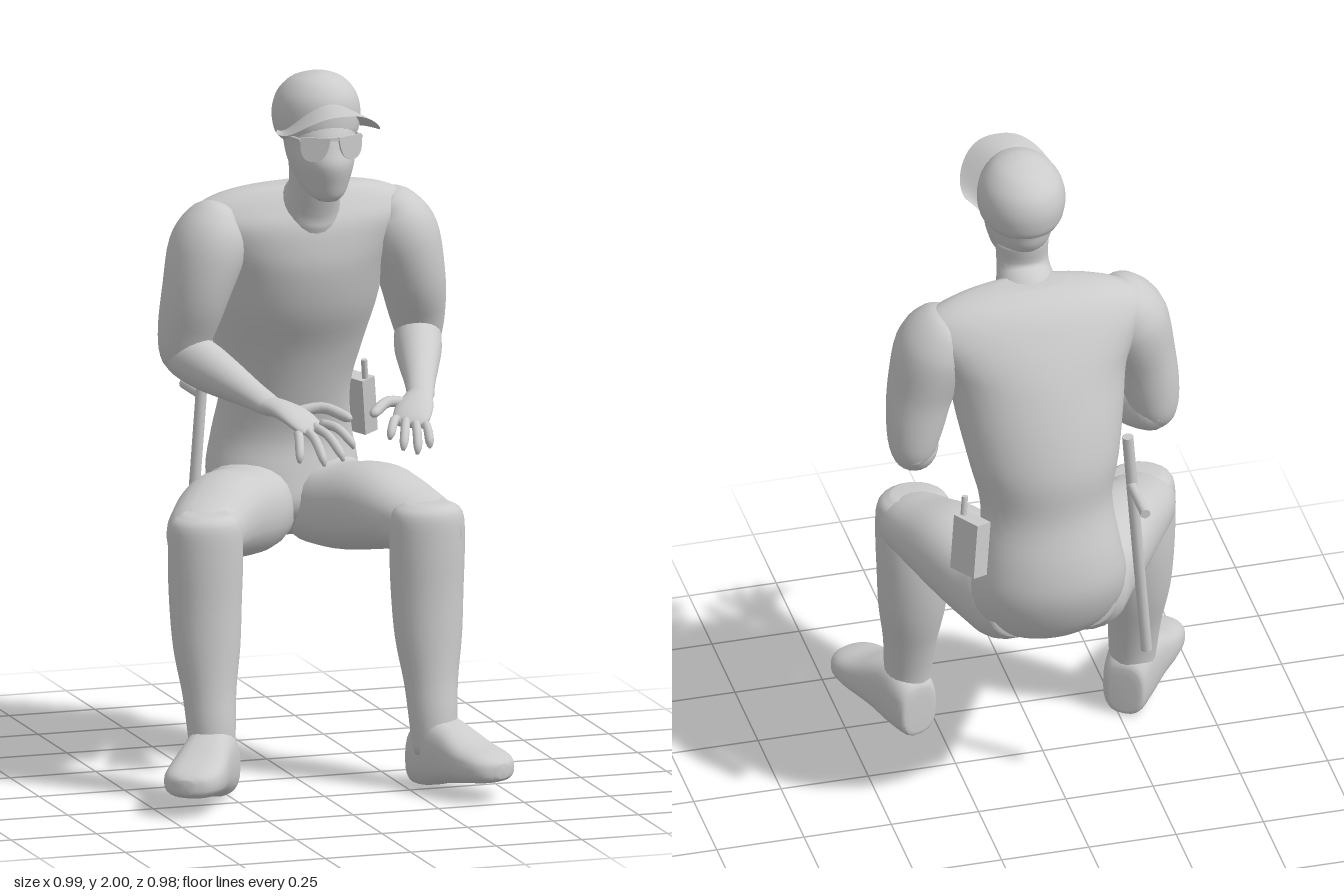
import * as THREE from 'three';

const V = (x, y, z) => new THREE.Vector3(x, y, z);
const X = V(1, 0, 0), Y = V(0, 1, 0), Z = V(0, 0, 1);
const MID = 0.07; // body centre line
const mat = new THREE.MeshStandardMaterial({ color: 0xcccccc });
const thinMat = new THREE.MeshStandardMaterial({ color: 0xcccccc, side: THREE.DoubleSide });

function part(parent, name, geo, material = mat) {
  const m = new THREE.Mesh(geo, material);
  m.name = name;
  parent.add(m);
  return m;
}

// Smooth closed skin over cross-sections [x, y, z, ra, rb]; rings turn with the path
// unless a fixed axis is given. power < 1 makes the rings boxier.
function loft(sections, ref, { axis = null, seg = 24, sub = 4, power = 1 } = {}) {
  const centre = new THREE.CatmullRomCurve3(sections.map(s => V(s[0], s[1], s[2])));
  const radii = new THREE.CatmullRomCurve3(sections.map(s => V(s[3], s[4], 0)));
  centre.curveType = radii.curveType = 'catmullrom';
  const n = (sections.length - 1) * sub, pos = [], idx = [];
  const bend = a => Math.sign(a) * Math.pow(Math.abs(a), power);
  for (let i = 0; i <= n; i++) {
    const c = centre.getPoint(i / n), r = radii.getPoint(i / n);
    const t = axis ? axis.clone() : centre.getTangent(i / n);
    const u = ref.clone().cross(t).normalize(), v = t.clone().cross(u);
    for (let j = 0; j < seg; j++) {
      const a = j / seg * Math.PI * 2;
      const p = c.clone().addScaledVector(u, bend(Math.cos(a)) * r.x).addScaledVector(v, bend(Math.sin(a)) * r.y);
      pos.push(p.x, p.y, p.z);
      if (i === n) continue;
      const k = (j + 1) % seg, A = i * seg + j, B = i * seg + k;
      idx.push(A, B, A + seg, B, B + seg, A + seg);
    }
  }
  // end caps
  for (const i of [0, n]) {
    const c = centre.getPoint(i / n), e = pos.length / 3;
    pos.push(c.x, c.y, c.z);
    for (let j = 0; j < seg; j++) {
      const A = i * seg + j, B = i * seg + (j + 1) % seg;
      if (i) idx.push(e, A, B); else idx.push(e, B, A);
    }
  }
  const g = new THREE.BufferGeometry();
  g.setAttribute('position', new THREE.Float32BufferAttribute(pos, 3));
  g.setIndex(idx);
  g.computeVertexNormals();
  return g;
}

// Upright body from rows [y, back z, front z, half width]
const upright = rows => loft(
  rows.map(([y, b, f, w]) => [MID, y, (b + f) / 2, w, (f - b) / 2]), Z.clone().negate(), { axis: Y, seg: 36 });

function rod(parent, name, a, b, r) {
  const m = part(parent, name, new THREE.CylinderGeometry(r, r, a.distanceTo(b), 12));
  m.position.copy(a).lerp(b, 0.5);
  m.quaternion.setFromUnitVectors(Y, b.clone().sub(a).normalize());
}

function box(parent, name, w, h, d, x, y, z) {
  part(parent, name, new THREE.BoxGeometry(w, h, d)).position.set(x, y, z);
}

function addHead(root) {
  const head = new THREE.Group();
  head.name = 'head';
  root.add(head);
  part(head, 'neck', loft([[MID, 1.52, -0.12, 0.085, 0.09], [MID, 1.6, -0.092, 0.088, 0.09],
    [MID, 1.67, -0.045, 0.073, 0.064], [MID, 1.76, -0.035, 0.075, 0.08]], Z.clone().negate()));
  part(head, 'face', upright([[1.652, 0.04, 0.1, 0.028], [1.668, 0, 0.113, 0.05], [1.7, -0.07, 0.125, 0.07],
    [1.755, -0.12, 0.14, 0.088], [1.8, -0.134, 0.127, 0.095], [1.85, -0.14, 0.11, 0.1], [1.95, -0.1, 0.06, 0.07]]));

  // sunglasses
  const s = new THREE.Shape();
  s.moveTo(-0.04, 0.03).lineTo(0.044, 0.03);
  s.bezierCurveTo(0.048, -0.02, 0.035, -0.038, 0.008, -0.038);
  s.bezierCurveTo(-0.02, -0.038, -0.034, -0.015, -0.04, 0.03);
  const lens = new THREE.ExtrudeGeometry(s, { depth: 0.006, bevelEnabled: false });
  for (const k of [-1, 1]) {
    const m = part(head, 'lens', lens, thinMat);
    m.position.set(MID + k * 0.047, 1.81, 0.114);
    m.rotation.y = k * 0.4;
    m.scale.x = k;
    rod(head, 'glassesTemple', V(MID + k * 0.088, 1.832, 0.1), V(MID + k * 0.1, 1.825, -0.03), 0.005);
  }
  box(head, 'glassesBridge', 0.04, 0.01, 0.008, MID, 1.835, 0.128);

  // cap crown and curved peak
  part(head, 'capCrown', upright([[1.812, -0.15, 0.07, 0.1], [1.835, -0.16, 0.1, 0.116], [1.885, -0.165, 0.104, 0.122],
    [1.935, -0.15, 0.097, 0.11], [1.975, -0.108, 0.068, 0.078], [1.994, -0.055, 0.03, 0.04], [2, -0.025, 0.005, 0.008]]));
  const peak = new THREE.PlaneGeometry(1, 1, 32, 6), p = peak.attributes.position;
  for (let i = 0; i < p.count; i++) {
    const a = p.getX(i) * Math.PI * 1.05, v = 0.5 - p.getY(i);
    const sn = Math.sin(a), cs = Math.cos(a), wide = Math.sign(sn) * Math.pow(Math.abs(sn), 0.8);
    p.setXYZ(i, MID + THREE.MathUtils.lerp(0.112 * sn, 0.142 * wide, v),
      1.928 - 0.09 * sn * sn + 0.015 * v * sn * sn - 0.008 * v * v,
      THREE.MathUtils.lerp(-0.02 + 0.11 * cs, 0.06 + 0.167 * Math.pow(Math.abs(cs), 0.9) * Math.sign(cs), v));
  }
  peak.computeVertexNormals();
  part(head, 'capPeak', peak, thinMat);
}

// trunk from seat to collar, flaring into the shoulders
function addTorso(root) {
  part(root, 'torso', upright([[0.63, -0.365, -0.27, 0.08], [0.662, -0.42, -0.21, 0.155], [0.73, -0.462, -0.16, 0.208],
    [0.82, -0.488, -0.172, 0.217], [0.92, -0.48, -0.187, 0.2], [1.05, -0.449, -0.152, 0.185], [1.18, -0.446, -0.105, 0.212],
    [1.3, -0.418, -0.045, 0.235], [1.42, -0.374, -0.014, 0.255], [1.5, -0.336, -0.014, 0.295], [1.56, -0.3, -0.025, 0.325],
    [1.605, -0.268, -0.05, 0.305], [1.635, -0.237, -0.07, 0.25], [1.653, -0.205, -0.085, 0.18], [1.663, -0.175, -0.1, 0.09]]));
}

// side: 1 left, -1 right; dz shifts the elbow forward
function addArm(root, side, dz, wrist, knuckles, tips, thumb) {
  const arm = new THREE.Group();
  arm.name = side > 0 ? 'leftArm' : 'rightArm';
  root.add(arm);
  const mx = x => MID + side * (x - MID);
  part(arm, 'upperArm', loft([[0.295, 1.595, -0.15, 0.06, 0.04], [0.325, 1.56, -0.15, 0.1, 0.085], [0.355, 1.49, -0.147, 0.119, 0.107],
    [0.39, 1.37, -0.15, 0.106, 0.093], [0.413, 1.26, -0.172, 0.08, 0.079], [0.423, 1.18, -0.182, 0.058, 0.058],
    [0.423, 1.14, -0.18, 0.02, 0.02]].map(([x, y, z, a, b], i) => [mx(x), y, z + dz * Math.min(i / 4, 1), a, b]), X));
  const e = V(mx(0.423), 1.2, -0.2 + dz);
  const along = (t, ra, rb) => { const q = e.clone().lerp(wrist, t); return [q.x, q.y, q.z, ra, rb]; };
  part(arm, 'forearm', loft([along(-0.08, 0.03, 0.03), along(0.03, 0.064, 0.062), along(0.25, 0.07, 0.066), along(0.5, 0.058, 0.057),
    along(0.8, 0.038, 0.043), along(1, 0.027, 0.037), along(1.08, 0.018, 0.028)], X));

  // hand: palm, four bent fingers and a thumb
  const hand = new THREE.Group();
  hand.name = 'hand';
  arm.add(hand);
  const k = knuckles[0].clone().lerp(knuckles[1], 0.5);
  const palm = (t, ra, rb) => { const q = wrist.clone().lerp(k, t); return [q.x, q.y + 0.012 * Math.sin(t * Math.PI), q.z, ra, rb]; };
  part(hand, 'palm', loft([palm(-0.2, 0.034, 0.026), palm(0.2, 0.041, 0.025), palm(0.6, 0.053, 0.022),
    palm(0.95, 0.052, 0.018), palm(1.1, 0.037, 0.009)], Y));
  const digit = (name, pts, r) => part(hand, name, loft(
    pts.map((q, i) => [q.x, q.y, q.z, ...[0, 1].map(() => r * (i === pts.length - 1 ? 0.35 : 1 - 0.05 * i))]), Y, { seg: 10 }));
  tips.forEach((tip, i) => {
    const base = knuckles[0].clone().lerp(knuckles[1], i / 3);
    const mid = base.clone().lerp(tip, 0.45).add(V(0, 0.02, 0.006));
    const end = base.clone().lerp(tip, 0.86).add(V(0, 0.012, 0.006));
    digit('finger', [base, mid, end, tip], 0.0135);
  });
  digit('thumb', [thumb[0], thumb[1], thumb[1].clone().lerp(thumb[2], 0.8), thumb[2]], 0.0165);
}

function addLeg(root, name, thigh, shinX, shinZ, foot, turn) {
  const leg = new THREE.Group();
  leg.name = name;
  root.add(leg);
  part(leg, 'thigh', loft(thigh, Y, { power: 0.9 }));
  part(leg, 'shin', loft([[0, 0.8, 0, 0.06, 0.055], [0, 0.77, 0, 0.1, 0.085], [0, 0.68, 0, 0.106, 0.09],
    [0, 0.55, 0, 0.102, 0.09], [0, 0.42, 0.012, 0.094, 0.083], [0, 0.3, 0.033, 0.076, 0.07],
    [0, 0.2, 0.052, 0.068, 0.065], [0, 0.1, 0.06, 0.06, 0.06]].map(([x, y, z, a, b]) => [x + shinX, y, z + shinZ, a, b]), Z));
  // shoe rows: z, bottom, top, half width
  const shoe = part(leg, 'shoe', loft([[-0.07, 0.015, 0.13, 0.04], [-0.06, 0.002, 0.17, 0.062], [0, 0.006, 0.21, 0.072],
    [0.08, 0.026, 0.19, 0.076], [0.16, 0.04, 0.155, 0.083], [0.225, 0.05, 0.138, 0.078], [0.262, 0.058, 0.124, 0.056],
    [0.28, 0.07, 0.11, 0.02]]
    .map(([z, b, t, w]) => [0, (b + t) / 2, z, w, (t - b) / 2]), Y, { axis: Z, power: 0.75 }));
  shoe.position.copy(foot);
  shoe.rotation.y = turn;
}

export function createModel() {
  const root = new THREE.Group();
  root.name = 'seatedFigure';
  addHead(root);
  addTorso(root);

  addArm(root, 1, 0, V(0.31, 1.1, 0.165), [V(0.2, 1.065, 0.28), V(0.275, 1.05, 0.305)],
    [V(0.155, 1.025, 0.355), V(0.185, 0.998, 0.383), V(0.225, 0.985, 0.39), V(0.267, 0.995, 0.37)],
    [V(0.275, 1.085, 0.205), V(0.2, 1.1, 0.215), V(0.13, 1.08, 0.275)]);
  addArm(root, -1, 0.03, V(-0.13, 1.1, 0.165), [V(-0.018, 1.068, 0.285), V(-0.095, 1.05, 0.305)],
    [V(0.04, 1.015, 0.39), V(0, 0.988, 0.415), V(-0.057, 0.978, 0.42), V(-0.12, 0.985, 0.39)],
    [V(-0.085, 1.085, 0.21), V(0, 1.1, 0.23), V(0.06, 1.08, 0.308)]);

  addLeg(root, 'leftLeg', [[0.15, 0.745, -0.37, 0.095, 0.09], [0.165, 0.735, -0.29, 0.13, 0.13], [0.2, 0.725, -0.18, 0.133, 0.122],
    [0.26, 0.745, -0.04, 0.128, 0.12], [0.31, 0.735, 0.09, 0.112, 0.09], [0.33, 0.72, 0.18, 0.1, 0.077],
    [0.335, 0.715, 0.245, 0.07, 0.055]], 0.325, 0.177, V(0.335, 0, 0.227), 0.4);
  addLeg(root, 'rightLeg', [[-0.01, 0.745, -0.37, 0.095, 0.09], [-0.03, 0.735, -0.3, 0.13, 0.13], [-0.085, 0.725, -0.2, 0.133, 0.122],
    [-0.185, 0.745, -0.07, 0.128, 0.12], [-0.27, 0.735, 0.04, 0.112, 0.09], [-0.307, 0.72, 0.115, 0.1, 0.077],
    [-0.325, 0.715, 0.175, 0.07, 0.055]], -0.303, 0.118, V(-0.3, 0, 0.175), -0.6);

  // side-handled baton on the right hip
  const baton = new THREE.Group();
  baton.name = 'baton';
  root.add(baton);
  rod(baton, 'batonShaft', V(-0.168, 1.2, -0.285), V(-0.222, 0.485, -0.285), 0.016);
  rod(baton, 'batonHandle', V(-0.178, 1.04, -0.285), V(-0.178, 1.04, -0.44), 0.014);

  // radio on the left hip
  const radio = new THREE.Group();
  radio.name = 'radio';
  radio.position.set(0.303, 0.97, -0.362);
  radio.rotation.set(0.08, 0.5, 0.12);
  root.add(radio);
  box(radio, 'radioBody', 0.05, 0.16, 0.095, 0, 0, 0);
  rod(radio, 'radioAntenna', V(0, 0.08, 0.035), V(0, 0.135, 0.035), 0.009);
  return root;
}
